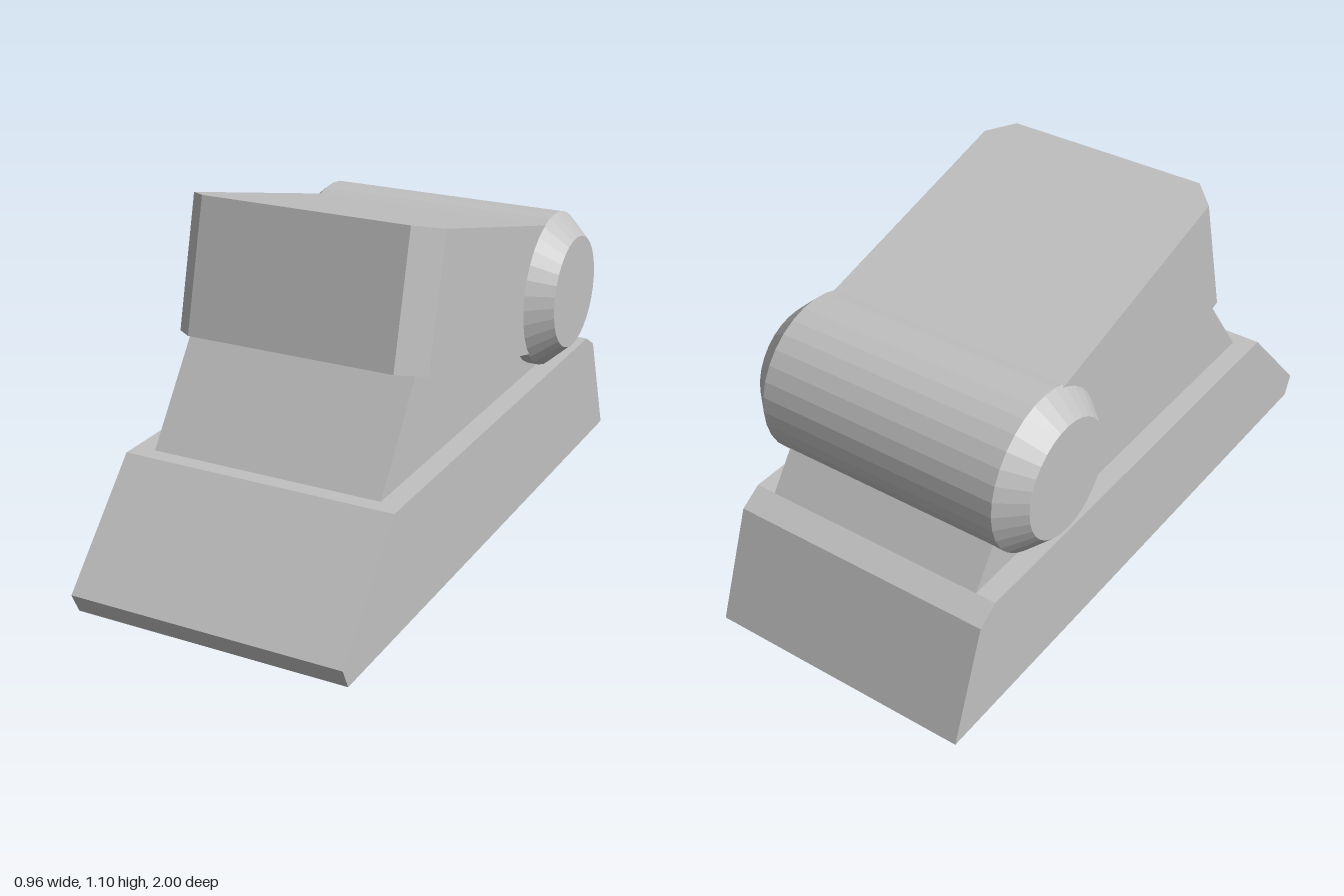
import * as THREE from 'three';

const grey = new THREE.MeshStandardMaterial({ color: 0xc0c0c0, flatShading: true });
grey.name = 'plain grey';

const toShape = (points) => new THREE.Shape(points.map(([a, b]) => new THREE.Vector2(a, b)));

// Side profile given as (z, y), extruded across x and centred
function sideProfile(points, width) {
  const g = new THREE.ExtrudeGeometry(toShape(points), { depth: width, bevelEnabled: false });
  g.translate(0, 0, -width / 2);
  g.rotateY(-Math.PI / 2);
  return g;
}

export function createModel() {
  const group = new THREE.Group();
  const add = (name, geometry) => {
    const mesh = new THREE.Mesh(geometry, grey);
    mesh.name = name;
    group.add(mesh);
    return mesh;
  };

  // Wedge-ended base
  add('base', sideProfile(
    [[-1, 0], [0.97, 0], [1, 0.065], [0.7, 0.388], [-0.8, 0.388], [-0.87, 0.345]], 0.872
  )).position.x = -0.003;

  // Sloped pedestal, its top hidden inside the head and the drum
  add('pedestal', sideProfile(
    [[-0.8, 0.388], [0.65, 0.388], [0.42, 0.706], [-0.5, 0.6], [-0.664, 0.575]], 0.74
  )).position.x = -0.003;

  // Tilted head with chamfered front corners; plan is (x, forward) from the drum axis
  const thick = 0.414, half = 0.409, len = 1.0, cut = 0.074;
  const headGeometry = new THREE.ExtrudeGeometry(toShape([
    [-half, 0], [half, 0], [half, len - cut], [half - cut, len], [cut - half, len], [-half, len - cut],
  ]), { depth: thick, bevelEnabled: false });
  headGeometry.translate(0, 0, -thick / 2);
  headGeometry.rotateX(Math.PI / 2);
  const head = add('head', headGeometry);
  head.position.set(-0.003, 0.655, -0.515);
  head.rotation.x = -THREE.MathUtils.degToRad(14.4);

  // Cross drum with bevelled ends
  const drumGeometry = new THREE.LatheGeometry(
    [[0, -0.482], [0.183, -0.482], [0.253, -0.405], [0.253, 0.405], [0.183, 0.482], [0, 0.482]]
      .map(([r, y]) => new THREE.Vector2(r, y)), 32);
  drumGeometry.rotateZ(Math.PI / 2);
  add('drum', drumGeometry).position.set(0, 0.655, -0.515);

  return group;
}
